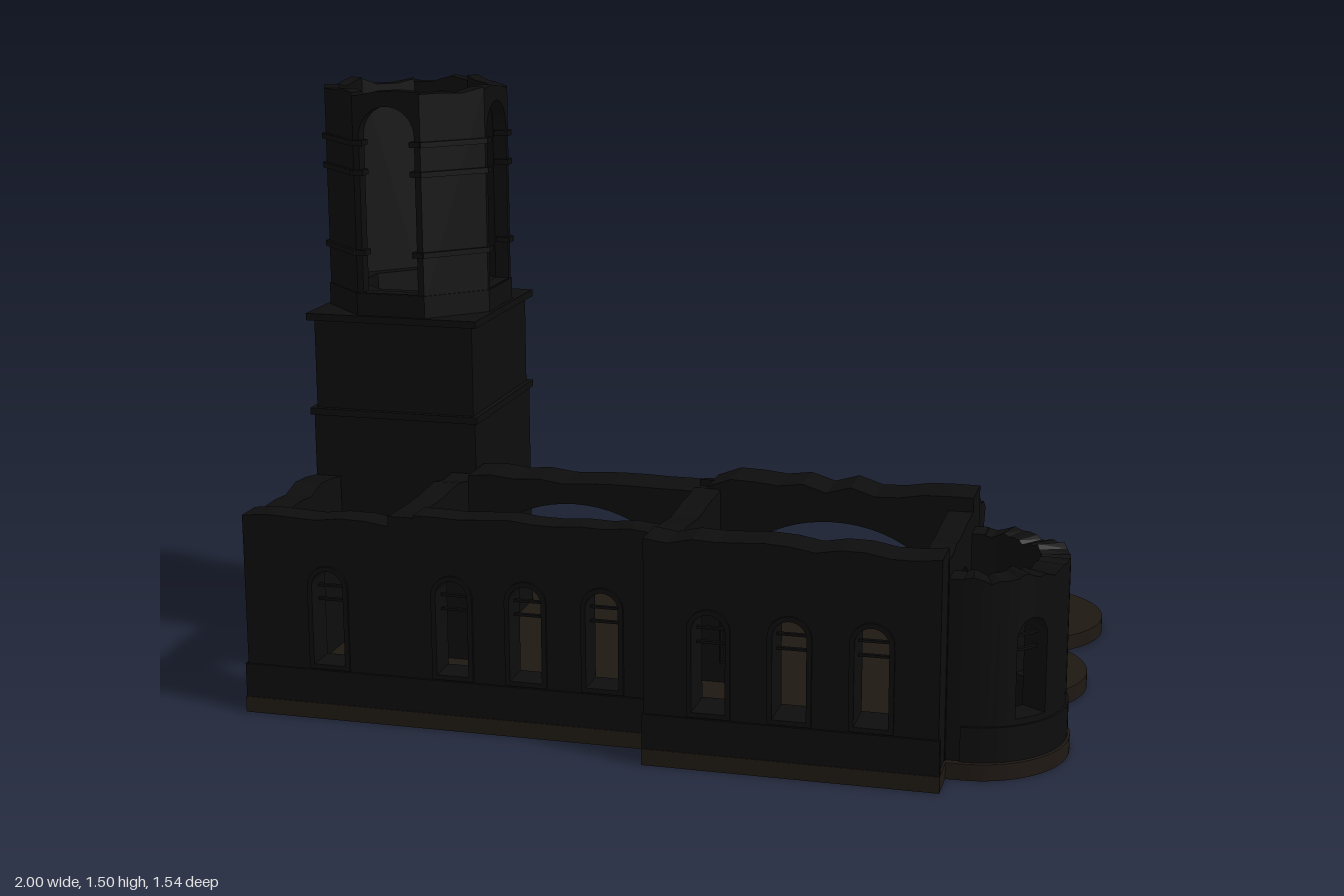
import * as THREE from 'three';

const stone = new THREE.MeshStandardMaterial({ color: 0x0d0d0d, flatShading: true, side: THREE.DoubleSide });
const earth = new THREE.MeshStandardMaterial({ color: 0x1e1813, flatShading: true });

let seed = 7;
const rnd = () => (seed = (seed * 16807) % 2147483647) / 2147483647;

// Arched outline: centre u, width w, sill y0, crown y1, rise of the arch
function archPath(Type, { u, w, y0, y1, rise = w / 2 }, grow = 0) {
  const r = w / 2 + grow, p = new Type();
  p.moveTo(u - r, y0 - grow);
  p.lineTo(u + r, y0 - grow);
  p.lineTo(u + r, y1 - rise);
  p.absellipse(u, y1 - rise, r, rise + grow, 0, Math.PI, false, 0);
  p.closePath();
  return p;
}

export function createModel() {
  const model = new THREE.Group();

  function add(name, geometry, parent = model, material = stone) {
    const mesh = new THREE.Mesh(geometry, material);
    mesh.name = name;
    parent.add(mesh);
    return mesh;
  }
  function box(name, x0, x1, y0, y1, z0, z1, parent = model) {
    const g = new THREE.BoxGeometry(x1 - x0, y1 - y0, z1 - z0);
    return add(name, g.translate((x0 + x1) / 2, (y0 + y1) / 2, (z0 + z1) / 2), parent);
  }
  // Plan outline (x, z) extruded upward from y0 to y1
  function slab(name, shape, y0, y1, material = stone) {
    const g = new THREE.ExtrudeGeometry(shape, { depth: y1 - y0, bevelEnabled: false, curveSegments: 24 });
    return add(name, g.rotateX(Math.PI / 2).translate(0, y1, 0), model, material);
  }
  // Straight wall from a to b with a broken top; its outer face lies on the line a-b
  function wall(name, [ax, az], [bx, bz], t, y0, top, { holes = [], jag = 0.015, plinth = false, glazed = false } = {}) {
    const len = Math.hypot(bx - ax, bz - az), n = Math.max(3, Math.round(len / 0.06));
    const group = new THREE.Group();
    group.name = name;
    group.position.set(ax, 0, az);
    group.rotation.y = -Math.atan2(bz - az, bx - ax);
    model.add(group);
    const s = new THREE.Shape();
    s.moveTo(0, y0);
    s.lineTo(len, y0);
    for (let i = n; i >= 0; i--) s.lineTo((i / n) * len, top - rnd() * jag);
    s.closePath();
    for (const h of holes) s.holes.push(archPath(THREE.Path, h));
    const g = new THREE.ExtrudeGeometry(s, { depth: t, bevelEnabled: false, curveSegments: 14 });
    add(name + 'Body', g.translate(0, 0, -t), group);
    if (plinth) box('plinth', -0.004, len + 0.004, 0.03, 0.125, -0.01, 0.006, group);
    if (glazed) for (const h of holes) {
      const f = archPath(THREE.Shape, h, 0.012);
      f.holes.push(archPath(THREE.Path, h));
      add('windowFrame', new THREE.ExtrudeGeometry(f, { depth: 0.014, bevelEnabled: false }).translate(0, 0, -0.008), group);
      for (const y of [0.295, 0.33])
        box('windowBar', h.u - h.w / 2, h.u + h.w / 2, y - 0.003, y + 0.003, -t / 2 - 0.005, -t / 2 + 0.005, group);
    }
    return group;
  }
  const win = u => ({ u, w: 0.08, y0: 0.14, y1: 0.378 });

  // Ground slab with transept arms and three rounded ends
  const plan = new THREE.Shape();
  plan.moveTo(-1, -0.68);
  for (const p of [[0.04, -0.68], [0.04, -0.77], [0.74, -0.77], [0.74, -0.68]]) plan.lineTo(...p);
  const k = Math.asin(0.225 / 0.23), q = Math.PI / 2;
  plan.absarc(0.77, -0.45, 0.23, -q, k, false);
  plan.absarc(0.77, 0, 0.23, -k, k, false);
  plan.absarc(0.77, 0.45, 0.23, -k, q, false);
  for (const p of [[0.74, 0.68], [0.74, 0.77], [0.04, 0.77], [0.04, 0.675], [-1, 0.675]]) plan.lineTo(...p);
  slab('groundSlab', plan, 0, 0.04, earth);

  // Outer walls of the side aisle and transept
  const opt = { plinth: true, glazed: true };
  wall('westBayFrontWall', [-0.993, 0.667], [-0.55, 0.667], 0.075, 0.03, 0.515, { ...opt, holes: [win(0.218)] });
  wall('westBayEndWall', [-0.993, 0.22], [-0.993, 0.667], 0.07, 0.03, 0.51, { ...opt, holes: [win(0.225)], jag: 0.03 });
  wall('aisleFrontWall', [-0.55, 0.667], [0.045, 0.667], 0.075, 0.03, 0.54, { ...opt, jag: 0.01, holes: [0.093, 0.278, 0.468].map(win) });
  wall('transeptFrontWall', [0.045, 0.762], [0.735, 0.762], 0.1, 0.03, 0.56, { ...opt, jag: 0.02, holes: [0.155, 0.345, 0.535].map(win) });

  // Cross walls with an open arch
  const crossArch = { u: 0.225, w: 0.31, y0: 0.03, y1: 0.43 };
  wall('westCrossArch', [-0.55, 0.667], [-0.55, 0.22], 0.065, 0.03, 0.53, { holes: [crossArch] });
  wall('transeptWestArch', [0.11, 0.67], [0.11, 0.22], 0.068, 0.03, 0.54, { holes: [crossArch] });
  wall('transeptEastArch', [0.737, 0.67], [0.737, 0.22], 0.06, 0.03, 0.53, { holes: [crossArch] });
  for (const [x0, x1] of [[0.045, 0.11], [0.677, 0.735]]) box('transeptReturn', x0, x1, 0.03, 0.53, 0.65, 0.755);

  // Inner arcade with two wide arches, and its pier bases and capitals
  const bay = (u, w) => ({ u, w, y0: 0.03, y1: 0.475, rise: 0.2 });
  wall('naveArcade', [-0.55, 0.28], [0.075, 0.28], 0.12, 0.03, 0.54, { holes: [bay(0.283, 0.535)] });
  wall('crossingArcade', [0.075, 0.28], [0.737, 0.28], 0.12, 0.03, 0.568, { holes: [bay(0.32, 0.55)], jag: 0.025 });
  for (const [x0, x1] of [[0.02, 0.12], [0.672, 0.745]]) {
    box('pierBase', x0 - 0.005, x1 + 0.005, 0.03, 0.09, 0.13, 0.29);
    box('pierShaft', x0 + 0.02, x1 - 0.01, 0.03, 0.27, 0.14, 0.29);
    box('pierCapital', x0 - 0.004, x1 + 0.004, 0.265, 0.28, 0.135, 0.29);
  }

  // Broken stubs of the arches that once crossed the nave
  const stub = new THREE.Shape([[-0.22, 0.26], [-0.155, 0.27], [-0.14, 0.33], [-0.1, 0.385], [-0.055, 0.42],
    [-0.03, 0.47], [-0.07, 0.495], [-0.11, 0.5], [-0.15, 0.53], [-0.22, 0.545]].map(p => new THREE.Vector2(...p)));
  for (const [x, t] of [[0.042, 0.068], [0.677, 0.058]]) {
    const g = new THREE.ExtrudeGeometry(stub, { depth: t, bevelEnabled: false });
    add('archStub', g.rotateY(Math.PI / 2).translate(x, 0, 0));
  }

  // Rounded end: boxes bent around the centre, with two arched windows
  const apse = new THREE.Group();
  apse.name = 'apse';
  apse.position.set(0.77, 0, 0.445);
  model.add(apse);
  const R = 0.218, half = 0.04 / 0.2;
  function bent(name, a0, a1, lo, hi, r0 = 0.15, r1 = R) {
    const g = new THREE.BoxGeometry(1, 1, 1, Math.max(6, Math.ceil((a1 - a0) / 0.1)), 1, 1);
    const p = g.attributes.position;
    for (let i = 0; i < p.count; i++) {
      const a = a1 + (a0 - a1) * (p.getX(i) + 0.5), r = r0 + (r1 - r0) * (p.getZ(i) + 0.5);
      p.setXYZ(i, r * Math.cos(a), p.getY(i) < 0 ? lo(a) : hi(a), r * Math.sin(a));
    }
    g.computeVertexNormals();
    add(name, g, apse);
  }
  const topY = a => 0.475 + 0.006 * Math.sin(a * 9) + 0.004 * Math.sin(a * 23);
  const floorY = () => 0.03, w = Math.PI / 4;
  for (const [a0, a1] of [[-q, -w - half], [-w + half, w - half], [w + half, q]]) bent('apseWall', a0, a1, floorY, topY);
  for (const c of [-w, w]) {
    bent('apseSill', c - half, c + half, floorY, () => 0.14);
    bent('apseWindowHead', c - half, c + half, a => 0.338 + 0.04 * Math.sqrt(Math.max(0, 1 - ((a - c) / half) ** 2)), topY);
    for (const y of [0.295, 0.33]) bent('windowBar', c - half, c + half, () => y - 0.003, () => y + 0.003, 0.18, 0.19);
  }
  bent('apsePlinth', -q, q, floorY, () => 0.125, 0.2, R + 0.006);
  for (const s of [-1, 1]) box('apseShoulder', -0.04, 0, 0.03, 0.475, s > 0 ? 0.15 : -R, s > 0 ? R : -0.15, apse);

  // Tower: two square stages with a doorway in each side
  const cx = -0.772, cz = -0.005;
  const door = { u: 0.22, w: 0.13, y0: 0.03, y1: 0.29 };
  for (let i = 0; i < 4; i++) {
    const a = i * q;
    const at = (u, d) => [cx + u * Math.cos(a) - d * Math.sin(a), cz + u * Math.sin(a) + d * Math.cos(a)];
    wall('towerLowerWall', at(-0.22, 0.22), at(0.22, 0.22), 0.075, 0.03, 0.655, { holes: [door], jag: 0 });
    wall('towerMiddleWall', at(-0.214, 0.214), at(0.214, 0.214), 0.07, 0.65, 0.91, { jag: 0 });
  }
  const ring = (r, inner, n) => {
    const pts = (rad, m) => Array.from({ length: m }, (_, i) => {
      const a = (i + 0.5) * 2 * Math.PI / m, c = rad / Math.cos(Math.PI / m);
      return new THREE.Vector2(cx + c * Math.cos(a), cz + c * Math.sin(a));
    });
    const s = new THREE.Shape(pts(r, n));
    s.holes.push(new THREE.Path(pts(inner, 8)));
    return s;
  };
  slab('lowerCornice', ring(0.228, 0.146, 4), 0.65, 0.668);
  slab('upperCornice', ring(0.23, 0.146, 4), 0.9, 0.918);
  slab('belfryBase', ring(0.22, 0.146, 8), 0.918, 0.975);

  // Octagonal belfry: arched openings on four sides, banded panels between
  const ap = 0.217, e = ap * Math.tan(Math.PI / 8), depth = 0.036;
  for (let i = 0; i < 8; i++) {
    const a = i * Math.PI / 4, open = i % 2 === 0;
    const at = u => [cx + u * Math.cos(a) - ap * Math.sin(a), cz + u * Math.sin(a) + ap * Math.cos(a)];
    const panel = wall(open ? 'belfryOpening' : 'belfryPanel', at(-e), at(e), depth, 0.95, 1.5,
      { jag: 0.025, holes: open ? [{ u: e, w: 0.148, y0: 0.977, y1: 1.453 }] : [] });
    // Mitre the panel ends
    const p = panel.children[0].geometry.attributes.position;
    for (let j = 0; j < p.count; j++) {
      const u = p.getX(j) - e;
      if (Math.abs(u) > e - 0.002) p.setX(j, e + u * (1 + p.getZ(j) / ap));
    }
    for (const y of [1.08, 1.285, 1.36]) {
      if (!open) box('belfryBand', -0.003, 2 * e + 0.003, y - 0.007, y + 0.007, -0.01, 0.009, panel);
      else for (const s of [-1, 1]) box('brokenBand', e + s * 0.077 - 0.014, e + s * 0.077 + 0.014, y - 0.007, y + 0.007, -0.03, 0.008, panel);
    }
  }

  // Fallen masonry on the floor
  box('rubbleBlock', 0.675, 0.737, 0.03, 0.085, -0.225, -0.165).rotation.z = 0.01;
  box('rubbleSlab', 0.675, 0.737, 0.03, 0.092, -0.29, -0.225);
  return model;
}
